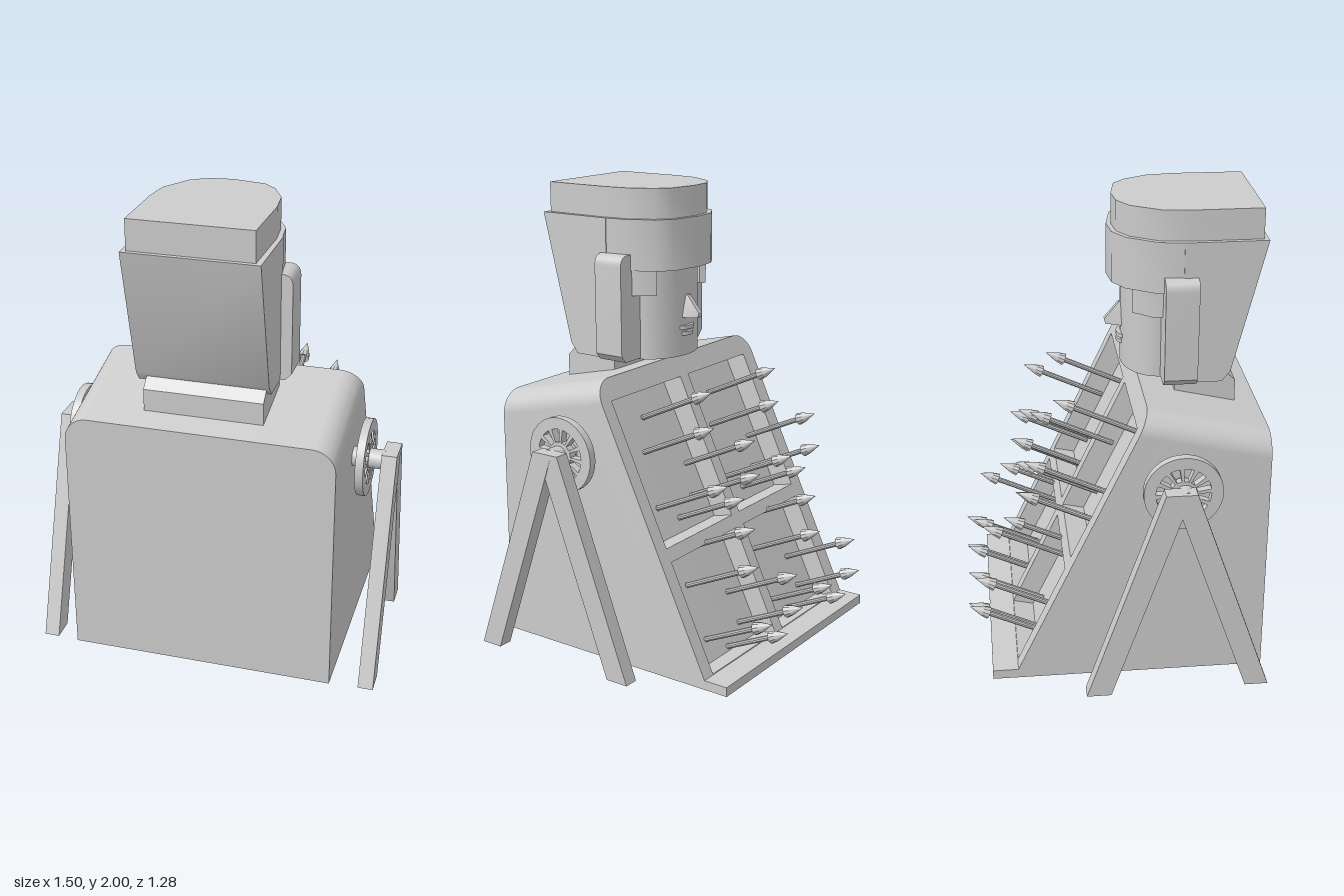
import * as THREE from 'three';
import { toCreasedNormals } from 'three/addons/utils/BufferGeometryUtils.js';

const grey = new THREE.MeshStandardMaterial({ color: 0xcccccc });
const CX = -0.015; // middle of the body
const HX = -0.03; // middle of the head

function mesh(parent, name, geometry) {
  const m = new THREE.Mesh(toCreasedNormals(geometry, 0.6), grey);
  m.name = name;
  parent.add(m);
  return m;
}

const toShape = (points) => new THREE.Shape(points.map(([a, b]) => new THREE.Vector2(a, b)));
const extrude = (shape, depth) => new THREE.ExtrudeGeometry(shape, { depth, bevelEnabled: false, curveSegments: 8 });

// Side profile of [z, y] points, swept from x0 to x1
const fromSide = (points, x0, x1) =>
  extrude(toShape(points.map(([z, y]) => [-z, y])), x1 - x0).rotateY(Math.PI / 2).translate(x0, 0, 0);

// Plan outline of [x, z] points, swept from y0 to y1
const fromPlan = (points, y0, y1) =>
  extrude(toShape(points.map(([x, z]) => [x, -z])), y1 - y0).rotateX(-Math.PI / 2).translate(0, y0, 0);

const box = (x0, x1, y0, y1, z0, z1) =>
  new THREE.BoxGeometry(x1 - x0, y1 - y0, z1 - z0).translate((x0 + x1) / 2, (y0 + y1) / 2, (z0 + z1) / 2);

// Outline of the sloping face: x across, s up the slope, rounded upper corners
function slopeShape() {
  const [l, r, h, c] = [-0.59, 0.56, 1.368, 0.1];
  const s = new THREE.Shape();
  s.moveTo(l, 0).lineTo(r, 0).lineTo(r, h - c);
  s.absarc(r - c, h - c, c, 0, Math.PI / 2);
  s.lineTo(l + c, h);
  s.absarc(l + c, h - c, c, Math.PI / 2, Math.PI);
  s.closePath();
  return s;
}

// Lays a unit extrusion on the slope; the far end lies at depth w1 or on the upright plane z = 0.64
function layOnSlope(shape, w0, w1) {
  const geo = extrude(shape, 1);
  const p = geo.attributes.position;
  for (let i = 0; i < p.count; i++) {
    const s = p.getY(i), z = -0.449 + s * 0.423;
    const far = w1 === undefined ? 0.64 - z : w1;
    const w = p.getZ(i) > 0.5 ? far : w0;
    p.setXYZ(i, p.getX(i), Math.max(0, s * 0.906 - 0.235 * w), z + w);
  }
  return geo;
}

function buildBody(group) {
  mesh(group, 'body', layOnSlope(slopeShape(), 0.1));
  const frame = slopeShape();
  for (const [x0, x1] of [[-0.515, -0.06], [0, 0.495]])
    for (const [s0, s1] of [[0.05, 0.55], [0.61, 1.27]])
      frame.holes.push(toShape([[x0, s0], [x0, s1], [x1, s1], [x1, s0]]));
  mesh(group, 'windowFrame', layOnSlope(frame, 0, 0.1));
  mesh(group, 'ledge', box(-0.59, 0.56, 0, 0.042, -0.54, -0.42));
}

function buildArrows(group) {
  const profile = [[0, -0.4], [0.012, -0.4], [0.012, -0.085], [0.028, -0.092], [0.022, -0.06], [0, 0]];
  const geo = new THREE.LatheGeometry(profile.map(([r, y]) => new THREE.Vector2(r, y)), 10);
  // Tip positions of one quadrant: x, y, z
  const tips = [
    [-0.27, 1.18, -0.24], [-0.15, 1.07, -0.335], [-0.4, 0.96, -0.375],
    [-0.15, 0.83, -0.405], [-0.4, 0.815, -0.405], [-0.27, 0.745, -0.41],
  ];
  for (const dx of [0, 0.505])
    for (const [dy, dz] of [[0, 0], [-0.56, -0.225]])
      for (const [x, y, z] of tips) {
        const arrow = mesh(group, 'arrow', geo);
        arrow.position.set(x + dx, y + dy, z + dz);
        arrow.rotation.x = -1.134;
      }
}

function wheelGeometry() {
  const shape = new THREE.Shape();
  shape.absarc(0, 0, 0.165, 0, Math.PI * 2);
  const n = 12;
  for (let i = 0; i < n; i++) {
    const a = (i / n) * Math.PI * 2, b = a + 0.36;
    const hole = new THREE.Path();
    hole.absarc(0, 0, 0.115, a, b, false);
    hole.absarc(0, 0, 0.058, b, a, true);
    hole.closePath();
    shape.holes.push(hole);
  }
  return new THREE.ExtrudeGeometry(shape, { depth: 0.035, bevelEnabled: false, curveSegments: 20 })
    .translate(0, 0, -0.0175).rotateY(Math.PI / 2);
}

function buildSide(group, side) {
  const stand = new THREE.Group();
  stand.name = side > 0 ? 'leftStand' : 'rightStand';
  group.add(stand);
  mesh(stand, 'wheel', wheelGeometry()).position.set(CX + side * 0.628, 0.915, 0.265);
  const axle = new THREE.CylinderGeometry(0.042, 0.042, 0.16, 20).rotateZ(Math.PI / 2);
  mesh(stand, 'axle', axle).position.set(CX + side * 0.63, 0.915, 0.27);
  const x = side > 0 ? 0.685 : -0.745, skew = side > 0 ? -0.028 : -0.01;
  mesh(stand, 'frontLeg', fromSide([[0.64, 0.005], [0.54, 0.005], [0.21, 0.955], [0.31, 0.955]], x, x + 0.065));
  // The second leg drifts sideways towards its foot
  const leg = fromSide([[-0.04, 0], [-0.145, 0], [0.18, 0.955], [0.25, 0.955], [0.25, 0.85]], x, x + 0.065);
  const p = leg.attributes.position;
  for (let i = 0; i < p.count; i++) p.setX(i, p.getX(i) + skew * (1 - p.getY(i) / 0.955));
  mesh(stand, 'backLeg', leg);
}

function buildHead(parent) {
  const head = new THREE.Group();
  head.name = 'head';
  parent.add(head);
  mesh(head, 'neck', fromSide([[0.535, 1.13], [0.535, 1.24], [0.47, 1.3], [0.275, 1.28], [0.275, 1.18]], -0.275, 0.235));
  mesh(head, 'skull', fromSide(
    [[0.645, 1.87], [0.505, 1.3], [0.47, 1.255], [0.3, 1.255], [0.3, 1.87]], -0.315, 0.25));

  // Rounded brow band and the crown above it
  const curve = [[0.25, 0.33], [0.235, 0.2], [0.18, 0.09], [0.12, 0.035], [-0.03, 0.008],
    [-0.14, 0.02], [-0.22, 0.07], [-0.3, 0.2], [-0.315, 0.33]];
  mesh(head, 'browBand', fromPlan(curve, 1.65, 1.87));
  const inset = curve.map(([x, z]) => [HX + (x - HX) * 0.93, 0.33 + (z - 0.33) * 0.94]);
  mesh(head, 'crown', fromPlan([...inset, [-0.295, 0.625], [0.225, 0.625]], 1.86, 2));

  // Face column, half elliptical in plan
  const face = [[HX - 0.2, 0.36]];
  for (let i = 0; i <= 16; i++) {
    const a = (i / 16) * Math.PI;
    face.push([HX - Math.cos(a) * 0.2, 0.22 - Math.sin(a) * 0.15]);
  }
  face.push([HX + 0.2, 0.36]);
  mesh(head, 'face', fromPlan(face, 1.25, 1.68));

  for (const side of [-1, 1]) {
    // Flap hanging from the band beside the eye
    const flap = [[0.26, 0.3], [0.25, 0.18], [0.185, 0.1], [0.165, 0.12], [0.2, 0.3]];
    mesh(head, 'templeFlap', fromPlan(flap.map(([x, z]) => [HX + side * x, z]), 1.54, 1.66));
    // Cheek guard with a rounded outer top edge
    const guard = new THREE.Shape();
    guard.moveTo(0.19, 1.255).lineTo(0.3, 1.255).lineTo(0.328, 1.285).lineTo(0.328, 1.67);
    guard.quadraticCurveTo(0.328, 1.72, 0.278, 1.72).lineTo(0.19, 1.72).closePath();
    const geo = extrude(guard, 0.14);
    if (side < 0) geo.rotateY(Math.PI);
    mesh(head, 'cheekGuard', geo).position.set(HX, 0, side > 0 ? 0.185 : 0.36);
  }

  // Wedge nose, narrow at the bridge and deepest at the tip
  const nose = fromSide([[0.1, 1.53], [0.062, 1.52], [0.0, 1.445], [0.005, 1.425], [0.1, 1.42]], -0.045, 0.045);
  const p = nose.attributes.position;
  for (let i = 0; i < p.count; i++) {
    const k = (1.55 - p.getY(i)) / 0.13 * (p.getZ(i) < 0.03 ? 0.35 : 1);
    p.setX(i, HX + p.getX(i) * k);
  }
  mesh(head, 'nose', nose);
  for (const [y, w] of [[1.378, 0.05], [1.35, 0.04]]) {
    const lip = mesh(head, 'lip', new THREE.CylinderGeometry(1, 1, 0.017, 16));
    lip.scale.set(w, 1, 0.025);
    lip.position.set(HX, y, 0.077);
  }
}

export function createModel() {
  const model = new THREE.Group();
  model.name = 'arrowLauncher';
  buildBody(model);
  buildArrows(model);
  for (const side of [-1, 1]) buildSide(model, side);
  buildHead(model);
  return model;
}
